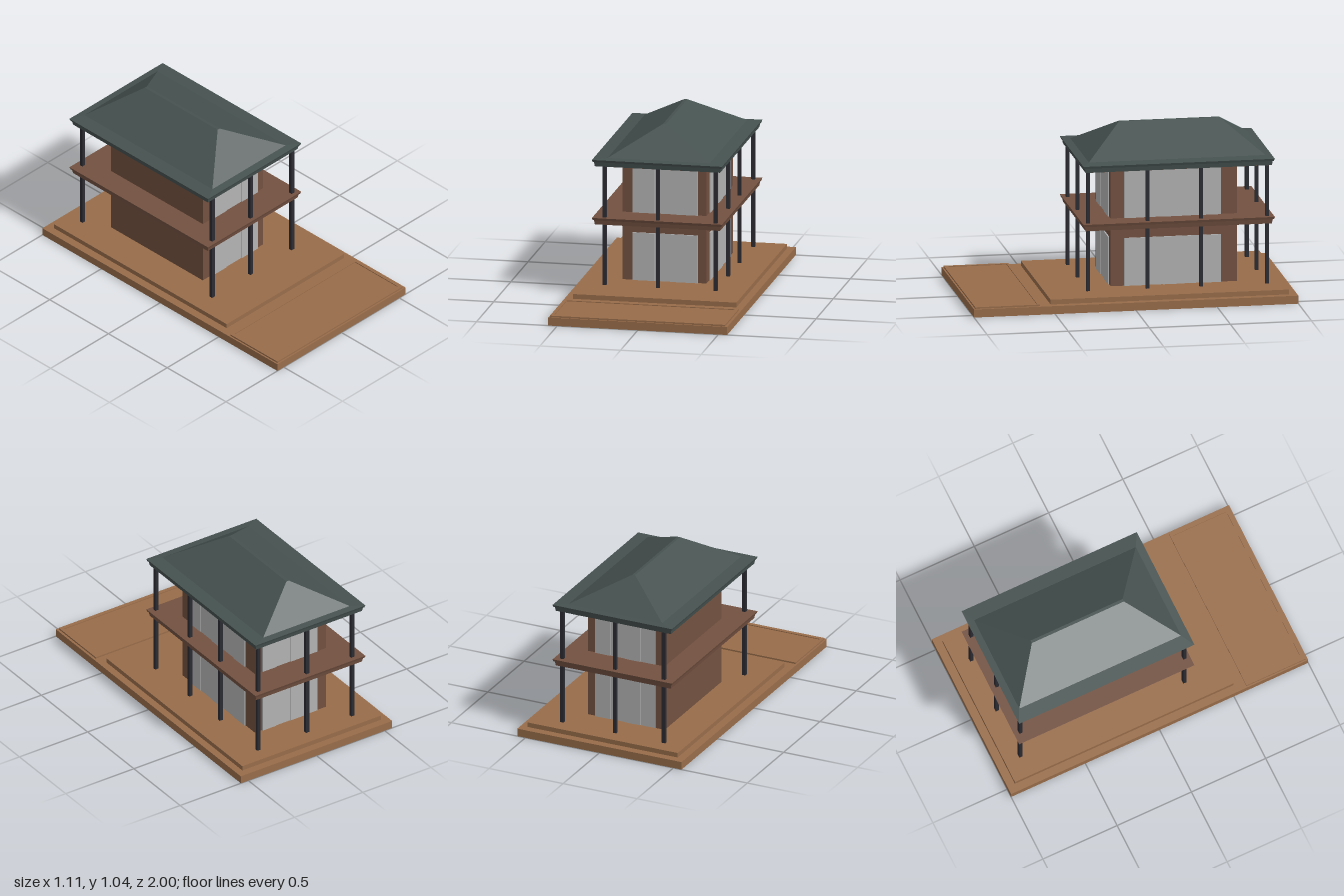
import * as THREE from 'three';

const mat = (name, color) => Object.assign(new THREE.MeshStandardMaterial({ color }), { name });

export function createModel() {
  const wood = mat('warm timber', 0x996d4a);
  const brown = mat('brown wall', 0x735140);
  const slate = mat('slate roof', 0x465250);
  const steel = mat('dark steel', 0x2b2b33);
  const glass = mat('pale glass', 0xb4b4b4);

  const house = new THREE.Group();
  house.name = 'house';

  const add = (name, geometry, material, parent = house) => {
    const mesh = new THREE.Mesh(geometry, material);
    mesh.name = name;
    parent.add(mesh);
    return mesh;
  };

  // Slab whose lower and upper rectangles [x0, x1, z0, z1] may differ
  const taper = (name, y0, lower, y1, upper, material) => {
    const g = new THREE.BoxGeometry(1, 1, 1).toNonIndexed();
    const p = g.attributes.position;
    for (let i = 0; i < p.count; i++) {
      const top = p.getY(i) > 0;
      const r = top ? upper : lower;
      p.setXYZ(i, r[p.getX(i) > 0 ? 1 : 0], top ? y1 : y0, r[p.getZ(i) > 0 ? 3 : 2]);
    }
    g.computeVertexNormals();
    return add(name, g, material);
  };
  const block = (name, y0, y1, rect, material) => taper(name, y0, rect, y1, rect, material);

  // Ground platform and raised terrace
  block('base', 0, 0.05, [-0.555, 0.555, -1, 1], wood);
  block('terrace', 0.05, 0.08, [-0.505, 0.51, -0.95, 0.52], wood);

  // Low curb framing the front yard
  const yard = new THREE.Shape([[-0.545, -0.99], [0.54, -0.99], [0.54, -0.59], [-0.545, -0.59]]
    .map(([x, y]) => new THREE.Vector2(x, y)));
  yard.holes.push(new THREE.Path([[-0.525, -0.965], [-0.525, -0.605], [0.52, -0.605], [0.52, -0.965]]
    .map(([x, y]) => new THREE.Vector2(x, y))));
  const curb = add('yardCurb', new THREE.ExtrudeGeometry(yard, { depth: 0.01, bevelEnabled: false }), wood);
  curb.rotation.x = -Math.PI / 2;
  curb.position.y = 0.05;
  block('yardFloor', 0.05, 0.055, [-0.525, 0.52, 0.605, 0.965], wood);

  // Storey walls
  const walls = [-0.285, 0.235, -0.68, 0.1];
  block('lowerWalls', 0.08, 0.46, walls, brown);
  block('upperWalls', 0.5, 0.825, walls, brown);

  // Sliding glass panes, alternately stepped in depth
  const glazing = (name, width, height, count, position, turn) => {
    const group = new THREE.Group();
    group.name = name;
    const w = width / count;
    for (let i = 0; i < count; i++) {
      const depth = i % 2 ? 0.004 : 0.008;
      add('glassPane', new THREE.BoxGeometry(w, height, depth), glass, group)
        .position.set((i + 0.5) * w - width / 2, height / 2, depth / 2);
    }
    group.position.set(...position);
    group.rotation.y = turn;
    house.add(group);
  };
  for (const [floor, y] of [['lower', 0.08], ['upper', 0.503]]) {
    glazing(floor + 'FrontGlazing', 0.405, 0.298, 3, [-0.02, y, 0.1], 0);
    glazing(floor + 'BackGlazing', 0.405, 0.298, 4, [-0.02, y, -0.68], Math.PI);
    glazing(floor + 'SideGlazing', 0.595, 0.298, 5, [0.235, y, -0.28], Math.PI / 2);
  }

  // Stepped edge shared by the balcony and the eaves
  const outer = [-0.435, 0.372, -0.888, 0.292];
  const outerLow = [-0.43, 0.367, -0.883, 0.287];
  const inner = [-0.425, 0.362, -0.877, 0.281];
  const innerLow = [-0.42, 0.357, -0.872, 0.276];
  const steppedSlab = (name, y, topTier, material) => {
    taper(name + 'LowerTier', y, innerLow, y + 0.028, inner, material);
    taper(name + 'UpperTier', y + 0.028, outerLow, y + topTier, outer, material);
  };
  steppedSlab('balcony', 0.46, 0.043, brown);
  steppedSlab('eaves', 0.824, 0.042, slate);
  block('ceiling', 0.82, 0.825, [-0.405, 0.342, -0.857, 0.262], brown);

  // Hipped roof with a narrow flat ridge
  taper('roofApron', 0.866, outer, 0.871, [-0.35, 0.288, -0.847, 0.245], slate);
  taper('hipRoof', 0.87, [-0.35, 0.288, -0.847, 0.245], 1.04, [-0.055, -0.037, -0.62, 0], slate);

  // Posts: three at front and back, two more along the glazed side
  const posts = [[0.325, -0.11], [0.325, -0.44]];
  for (const x of [-0.363, -0.032, 0.325]) posts.push([x, 0.257], [x, -0.847]);
  for (const [x, z] of posts) {
    add('post', new THREE.BoxGeometry(0.023, 0.743, 0.021), steel).position.set(x, 0.4515, z);
  }
  // Posts stay hidden inside the slabs they cross
  return house;
}
